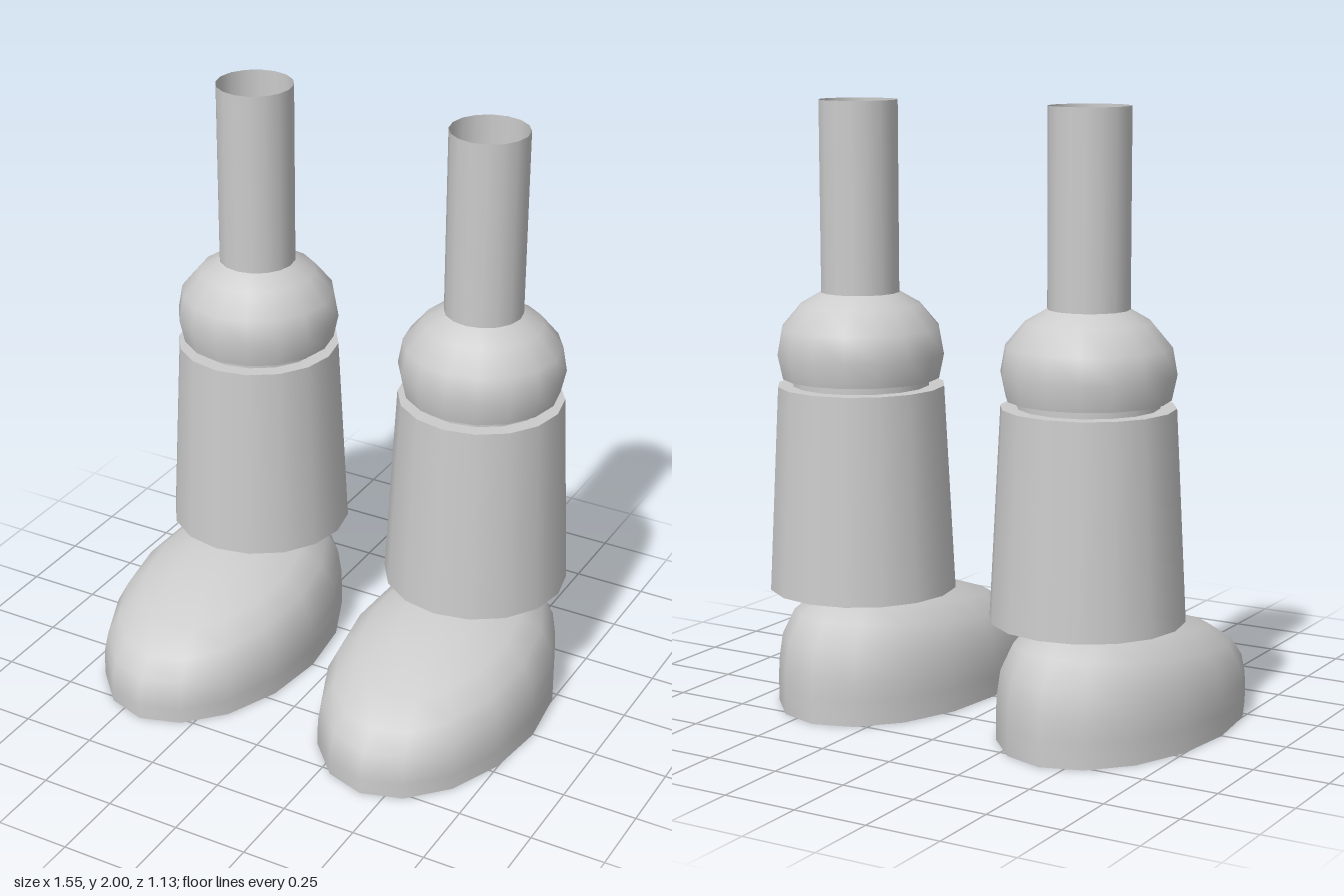
import * as THREE from 'three';
import { mergeVertices } from 'three/addons/utils/BufferGeometryUtils.js';

const SIDES = 16;
const grey = new THREE.MeshStandardMaterial({ color: 0xcccccc });
const greyOpen = new THREE.MeshStandardMaterial({ color: 0xcccccc, side: THREE.DoubleSide });

function add(parent, name, geometry, material = grey) {
  const mesh = new THREE.Mesh(geometry, material);
  mesh.name = name;
  parent.add(mesh);
  return mesh;
}

// Cylinder standing between two heights
function column(rTop, rBottom, y0, y1, open = false) {
  return new THREE.CylinderGeometry(rTop, rBottom, y1 - y0, SIDES, 1, open).translate(0, (y0 + y1) / 2, 0);
}

// Flat disc facing up (1) or down (-1)
function disc(rx, rz, y, facing) {
  return new THREE.CircleGeometry(1, SIDES).rotateX(-facing * Math.PI / 2).scale(rx, 1, rz).translate(0, y, 0);
}

// Full dome on an oval sole, lower at the toe and higher at the heel
function footDome(rx, rz, height) {
  const rings = [1, 0.9995, 0.995, 0.965, 0.87, 0.68, 0.36, 0];
  const profile = rings.map(s => new THREE.Vector2(s, Math.pow(1 - s * s, 0.25)));
  let geometry = new THREE.LatheGeometry(profile, SIDES);
  const p = geometry.attributes.position;
  for (let i = 0; i < p.count; i++) {
    const z = p.getZ(i);
    p.setXYZ(i, p.getX(i) * rx, p.getY(i) * height * (1 - 0.26 * z), z * rz);
  }
  geometry.deleteAttribute('normal');
  geometry.deleteAttribute('uv');
  geometry = mergeVertices(geometry, 1e-5);
  geometry.computeVertexNormals();
  return geometry;
}

function makeLeg(name, x) {
  const leg = new THREE.Group();
  leg.name = name;
  leg.position.x = x;

  // Foot
  const foot = new THREE.Group();
  foot.name = 'foot';
  leg.add(foot);
  add(foot, 'footUpper', footDome(0.353, 0.562, 0.378));
  add(foot, 'sole', disc(0.353, 0.562, 0, -1));

  // Everything above the foot stands over the heel
  const upper = new THREE.Group();
  upper.name = 'upperLeg';
  upper.position.z = -0.255;
  leg.add(upper);
  add(upper, 'shin', column(0.275, 0.31, 0.4, 1.075));
  add(upper, 'kneeJoint', column(0.224, 0.224, 1.07, 1.105));

  // Rounded knee with a flat underside
  const knee = [[0.258, 1.10], [0.275, 1.18], [0.26, 1.265], [0.197, 1.34], [0.128, 1.38]];
  add(upper, 'knee', new THREE.LatheGeometry(knee.map(([r, y]) => new THREE.Vector2(r, y)), SIDES));
  add(upper, 'kneeUnderside', disc(0.258, 0.258, 1.10, -1));
  add(upper, 'kneeTop', disc(0.128, 0.128, 1.38, 1));

  // Hollow thigh tube
  add(upper, 'thigh', column(0.129, 0.129, 1.38, 2, true), greyOpen);
  return leg;
}

export function createModel() {
  const model = new THREE.Group();
  model.name = 'legs';
  model.add(makeLeg('leftLeg', 0.423), makeLeg('rightLeg', -0.423));
  return model;
}
